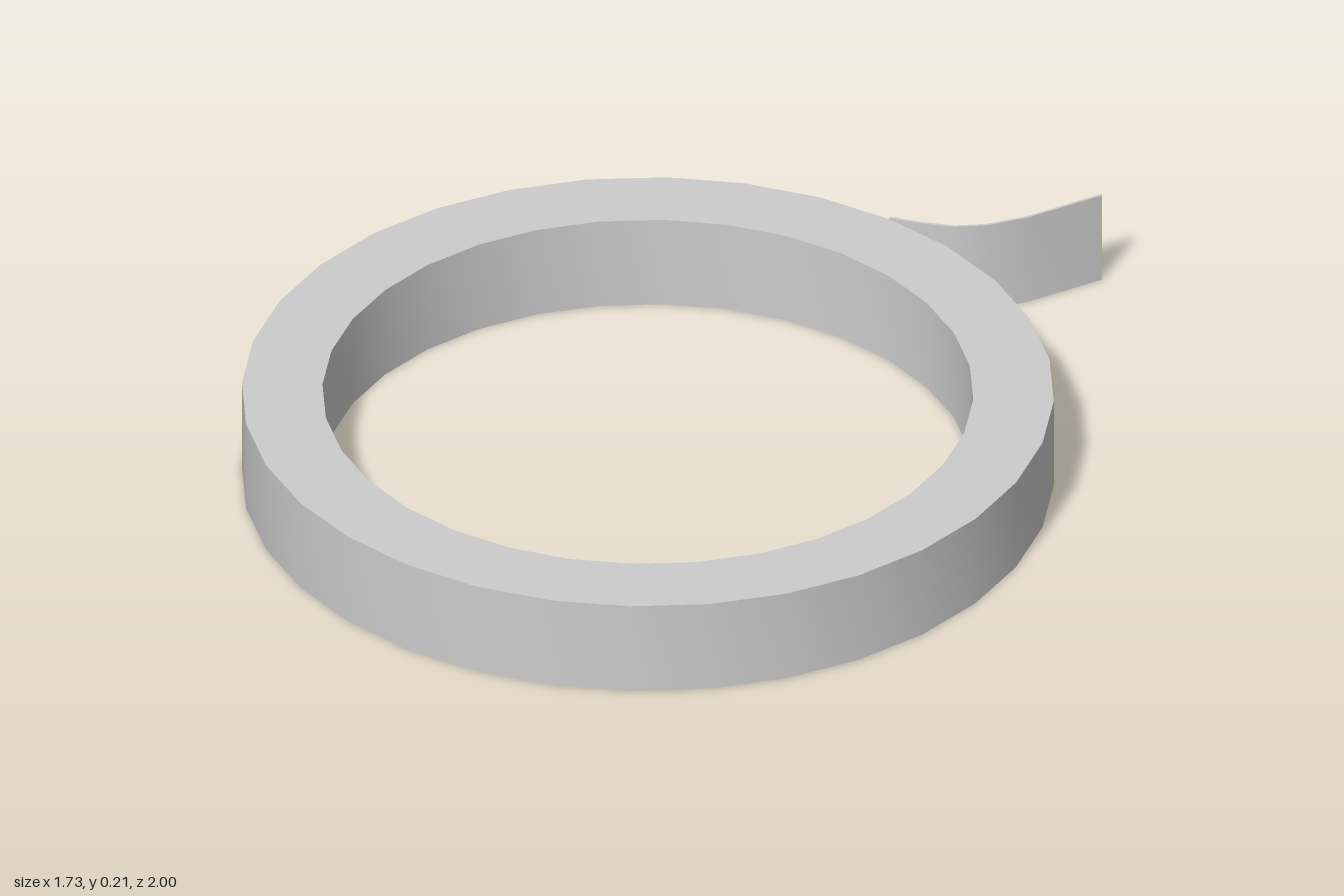
import * as THREE from 'three';
import { toCreasedNormals } from 'three/addons/utils/BufferGeometryUtils.js';

const HEIGHT = 0.212, OUTER = 0.867, INNER = 0.695, CENTRE_Z = 0.133;

export function createModel() {
  const group = new THREE.Group();
  const material = new THREE.MeshStandardMaterial({ color: 0xcccccc });
  const add = (name, geometry) => {
    const mesh = new THREE.Mesh(toCreasedNormals(geometry, 0.6), material);
    mesh.name = name;
    group.add(mesh);
    return mesh;
  };

  // Roll: a rectangular section turned around the vertical axis
  const section = [[OUTER, 0], [OUTER, HEIGHT], [INNER, HEIGHT], [INNER, 0], [OUTER, 0]]
    .map(([r, y]) => new THREE.Vector2(r, y));
  add('tapeRoll', new THREE.LatheGeometry(section, 32)).position.z = CENTRE_Z;

  // Loose end: a thin strip that leaves the back of the roll and curls away.
  // The path is drawn as (x, -z), then thickened along its normals.
  const path = [[0.17, 0.724], [0.24, 0.733], [0.31, 0.75], [0.37, 0.785], [0.435, 0.85], [0.54, 0.998]]
    .map(([x, y]) => new THREE.Vector2(x, y));
  const offset = (d) => path.map((p, i) => {
    const a = path[Math.max(i - 1, 0)], b = path[Math.min(i + 1, path.length - 1)];
    const t = b.clone().sub(a).normalize();
    return new THREE.Vector2(p.x - t.y * d, p.y + t.x * d);
  });
  const strip = new THREE.Shape([...offset(-0.003), ...offset(0.003).reverse()]);
  const stripGeometry = new THREE.ExtrudeGeometry(strip, { depth: HEIGHT, bevelEnabled: false });
  stripGeometry.rotateX(-Math.PI / 2);
  add('looseTapeEnd', stripGeometry);

  return group;
}
